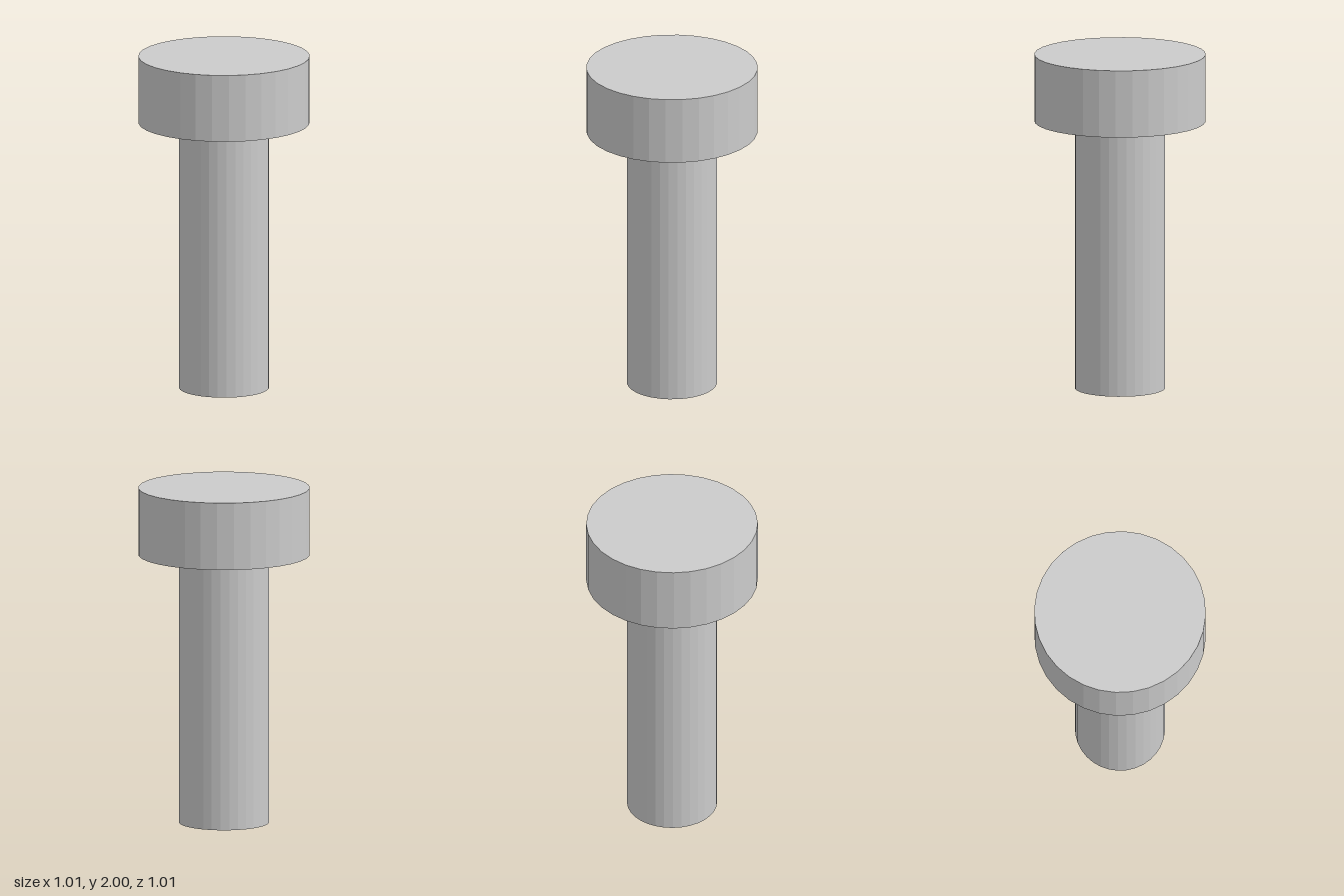
import * as THREE from 'three';

const SIDES = 32;

export function createModel() {
  const group = new THREE.Group();
  group.name = 'bolt';
  const material = new THREE.MeshStandardMaterial({ color: 0xcccccc, flatShading: true });

  // Upright faceted cylinder spanning bottom to top
  const addCylinder = (name, radius, bottom, top) => {
    const geometry = new THREE.CylinderGeometry(radius, radius, top - bottom, SIDES);
    const mesh = new THREE.Mesh(geometry, material);
    mesh.name = name;
    mesh.position.y = (bottom + top) / 2;
    group.add(mesh);
  };

  // Long plain shaft
  addCylinder('shaft', 0.265, 0, 1.6);
  // Wide flat head
  addCylinder('head', 0.504, 1.6, 2);

  return group;
}
